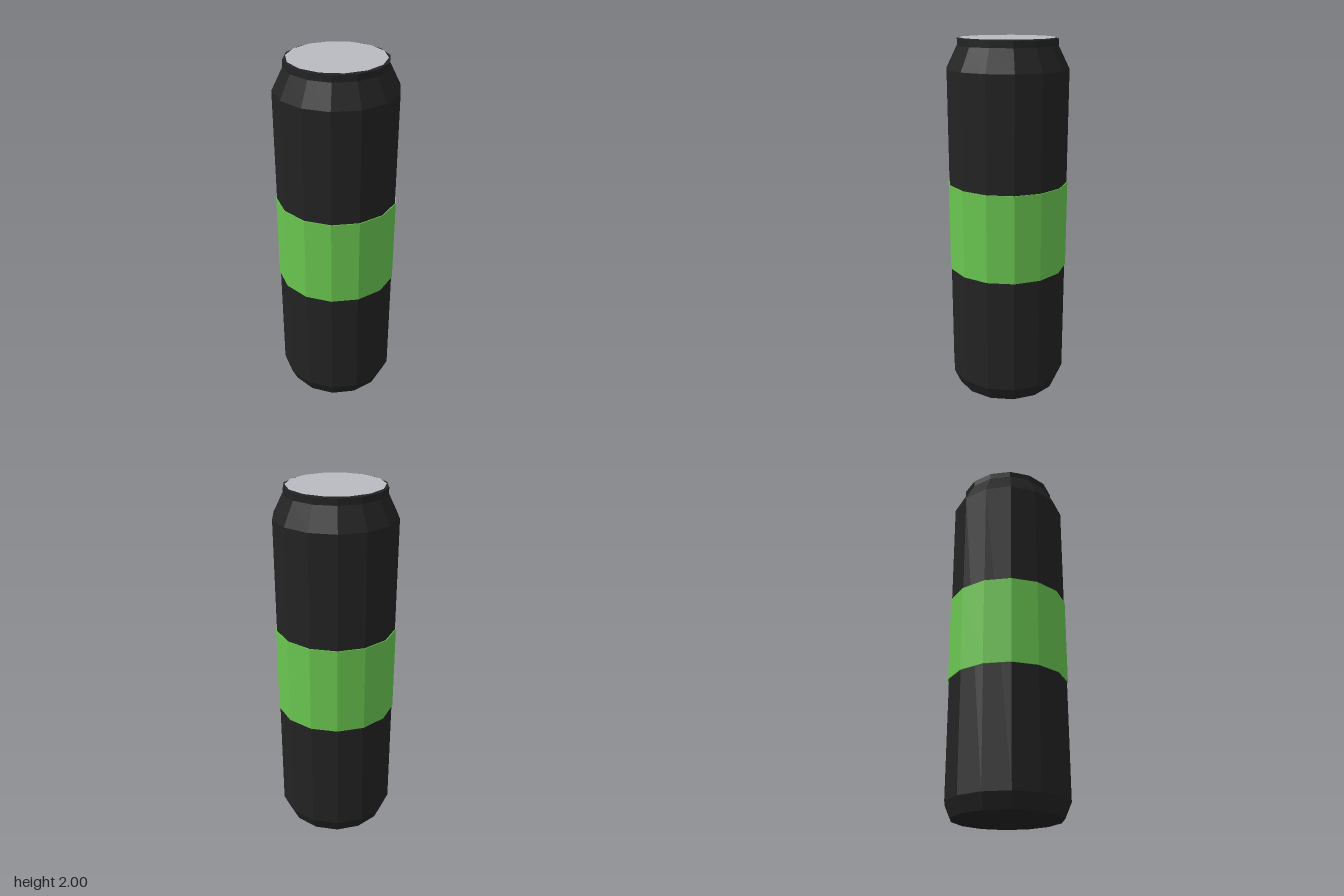
import * as THREE from 'three';

const SIDES = 14;
const paint = (name, color) => {
  const m = new THREE.MeshStandardMaterial({ color, flatShading: true });
  m.name = name;
  return m;
};

// Faceted solid of revolution from [radius, height] pairs, bottom to top
const turned = (profile) =>
  new THREE.LatheGeometry(profile.map(([r, y]) => new THREE.Vector2(r, y)), SIDES);

export function createModel() {
  const black = paint('black casing', 0x232323);
  const green = paint('green label', 0x6ac650);
  const silver = paint('silver lid', 0xb8bbc0);

  const model = new THREE.Group();
  model.name = 'canister';
  const add = (name, geometry, material) => {
    const mesh = new THREE.Mesh(geometry, material);
    mesh.name = name;
    model.add(mesh);
    return mesh;
  };

  // Casing: chamfered foot, straight wall, sloped shoulder, short neck
  add('casing', turned([
    [0, 0], [0.295, 0], [0.33, 0.08], [0.33, 1.84],
    [0.27, 1.96], [0.27, 1.995], [0, 1.995],
  ]), black);

  // Label band wrapped just outside the wall
  add('labelBand', turned([
    [0.325, 0.735], [0.335, 0.735], [0.335, 1.225], [0.325, 1.225],
  ]), green);

  // Thin lid plate, its corners turned to the sides
  const lid = add('lid', new THREE.CircleGeometry(0.257, SIDES).rotateX(-Math.PI / 2), silver);
  lid.position.y = 2;

  return model;
}
